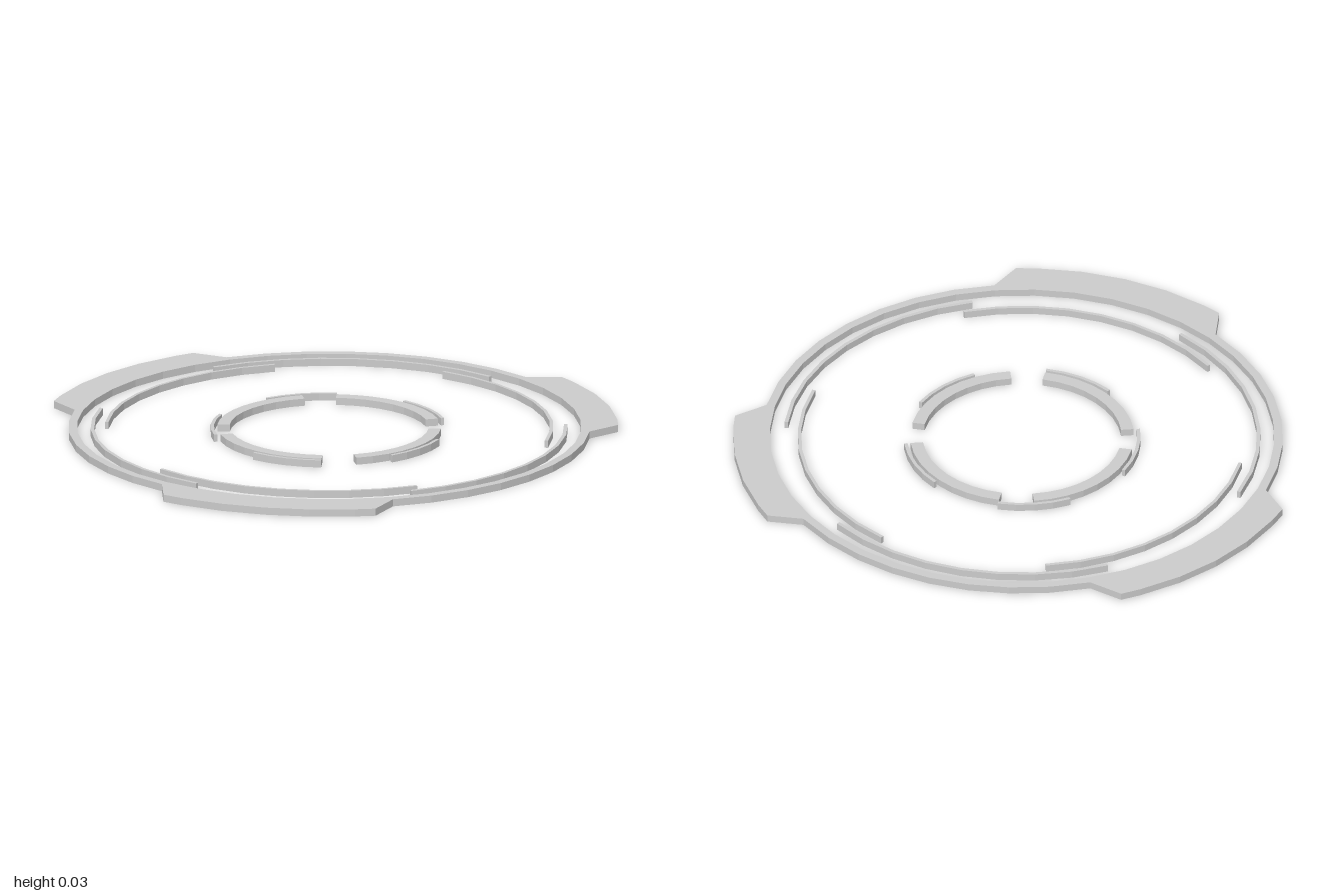
import * as THREE from 'three';

const HEIGHT = 0.026;
const STEP = 9; // degrees per facet
const material = new THREE.MeshStandardMaterial({ color: 0xcccccc, flatShading: true });

// Point at a radius and an angle in degrees, counter-clockwise seen from above
function polar(radius, degrees) {
  const a = THREE.MathUtils.degToRad(degrees);
  return new THREE.Vector2(radius * Math.cos(a), radius * Math.sin(a));
}

function plate(name, shape) {
  const geometry = new THREE.ExtrudeGeometry(shape, { depth: HEIGHT, bevelEnabled: false });
  geometry.rotateX(-Math.PI / 2);
  const mesh = new THREE.Mesh(geometry, material);
  mesh.name = name;
  return mesh;
}

// Flat curved bar between two radii
function arcBar(name, inner, outer, start, end) {
  const points = [];
  for (let a = start; a <= end; a += STEP) points.push(polar(outer, a));
  for (let a = end; a >= start; a -= STEP) points.push(polar(inner, a));
  return plate(name, new THREE.Shape(points));
}

// Closed ring whose rim steps out into three tabs with slanted ends
function outerRing() {
  const rim = 0.917, tabRim = 1.016, slant = 4.9;
  const tabs = [[63, 117], [180, 234], [306, 351]];
  const points = [];
  for (let a = 0; a < 360; a += STEP) {
    const tab = tabs.find(([s, e]) => a >= s && a <= e);
    if (!tab) {
      points.push(polar(rim, a));
    } else if (a === tab[0]) {
      points.push(polar(rim, a), polar(tabRim, a + slant));
    } else if (a === tab[1]) {
      points.push(polar(tabRim, a - slant), polar(rim, a));
    } else {
      points.push(polar(tabRim, a));
    }
  }
  const shape = new THREE.Shape(points);
  const hole = [];
  for (let a = 360; a > 0; a -= STEP) hole.push(polar(0.887, a));
  shape.holes.push(new THREE.Path(hole));
  return plate('outerRing', shape);
}

export function createModel() {
  const model = new THREE.Group();
  model.name = 'ringEmblem';
  const rings = new THREE.Group();
  rings.name = 'rings';
  rings.position.set(0.012, 0, 0.0495);
  model.add(rings);

  rings.add(outerRing());

  // Each family of bars: name, inner radius, outer radius, span, start angles
  const families = [
    ['outerThinArc', 0.826, 0.839, 72, [-3, 114, 240]],
    ['innerThinArc', 0.777, 0.789, 72, [54, 171, 297]],
    ['coreArc', 0.35, 0.394, 72, [-36, 54, 144, 234]],
    ['coreTrimArc', 0.405, 0.417, 36, [36, 108, 180, 252, 324]],
  ];
  for (const [name, inner, outer, span, starts] of families) {
    starts.forEach((start, i) => rings.add(arcBar(`${name}${i + 1}`, inner, outer, start, start + span)));
  }
  return model;
}
